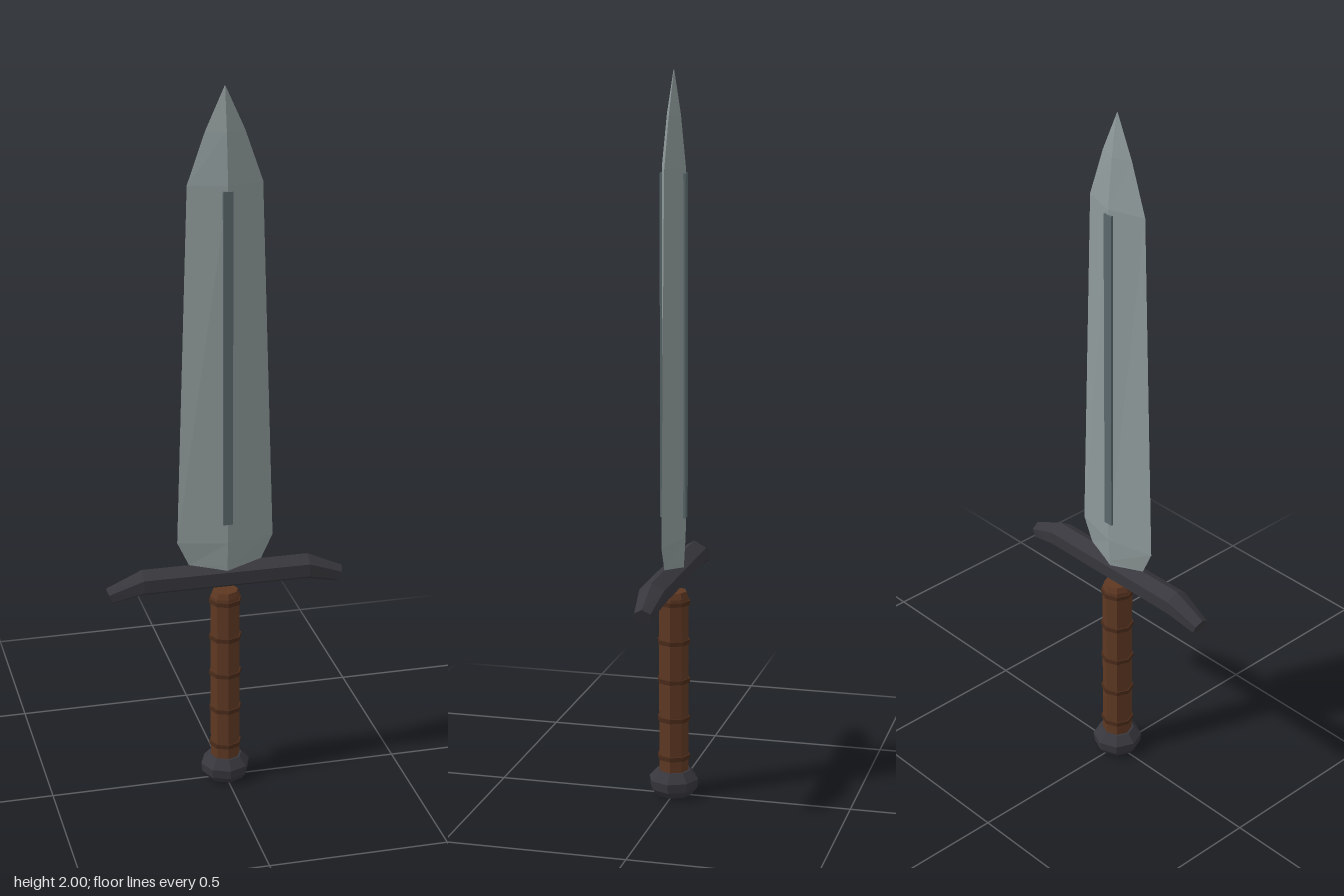
import * as THREE from 'three';

const paint = (color, name) => {
  const m = new THREE.MeshStandardMaterial({ color, flatShading: true });
  m.name = name;
  return m;
};

// Skin a list of equal-length rings (turning positively about the direction of travel) and cap both ends
function loft(rings) {
  const n = rings[0].length, index = [];
  for (let i = 0; i < rings.length - 1; i++) {
    for (let j = 0; j < n; j++) {
      const a = i * n + j, b = i * n + (j + 1) % n;
      index.push(a, b, b + n, a, b + n, a + n);
    }
  }
  const last = (rings.length - 1) * n;
  for (let j = 1; j < n - 1; j++) {
    index.push(0, j + 1, j, last, last + j, last + j + 1);
  }
  const g = new THREE.BufferGeometry();
  g.setAttribute('position', new THREE.Float32BufferAttribute(rings.flat(2), 3));
  g.setIndex(index);
  const flat = g.toNonIndexed();
  flat.computeVertexNormals();
  return flat;
}

const lathe = (profile) =>
  new THREE.LatheGeometry(profile.map(([r, y]) => new THREE.Vector2(r, y)), 8);

export function createModel() {
  const model = new THREE.Group();
  model.name = 'sword';
  const add = (name, geometry, material) => {
    const mesh = new THREE.Mesh(geometry, material);
    mesh.name = name;
    model.add(mesh);
    return mesh;
  };
  const steel = paint(0x8f9a9a, 'steel');
  const darkSteel = paint(0x5a686c, 'darkSteel');
  const iron = paint(0x38373d, 'iron');
  const leather = paint(0x5e3822, 'leather');
  const darkLeather = paint(0x4a2b1a, 'darkLeather');

  // Blade: diamond sections given as height, half width, half thickness
  const bladeSections = [
    [0.64, 0.09, 0.027], [0.67, 0.102, 0.029], [0.74, 0.135, 0.033],
    [1.745, 0.102, 0.033], [1.885, 0.053, 0.019], [2.0, 0.001, 0.001],
  ];
  add('blade', loft(bladeSections.map(([y, w, t]) =>
    [[w, y, 0], [0, y, -t], [-w, y, 0], [0, y, t]])), steel);

  // Central strip standing just proud of both faces
  add('fuller', new THREE.BoxGeometry(0.027, 0.935, 0.071), darkSteel)
    .position.set(0, 1.263, 0);

  // Crossguard: hexagonal bar with drooping, tapered, tilted ends
  const guardSection = (x, y, half, depth, tilt) =>
    [[1, 0], [0.48, 1], [-0.48, 1], [-1, 0], [-0.48, -1], [0.48, -1]].map(([v, z]) =>
      [x + v * half * Math.sin(tilt), y + v * half * Math.cos(tilt), z * depth]);
  add('crossguard', loft([
    guardSection(-0.327, 0.602, 0.025, 0.022, -0.36),
    guardSection(-0.235, 0.633, 0.038, 0.034, 0),
    guardSection(0.235, 0.633, 0.038, 0.034, 0),
    guardSection(0.327, 0.602, 0.025, 0.022, 0.36),
  ]), iron);

  // Grip with raised wrap rings
  add('grip', lathe([
    [0, 0.06], [0.042, 0.06], [0.042, 0.57], [0.036, 0.587], [0, 0.587],
  ]), leather);
  for (let i = 0; i < 5; i++) {
    add('gripRing', new THREE.CylinderGeometry(0.046, 0.046, 0.012, 8), darkLeather)
      .position.y = 0.112 + i * 0.111;
  }

  // Pommel
  add('pommel', lathe([
    [0, 0], [0.052, 0.003], [0.067, 0.022], [0.07, 0.048], [0.048, 0.073], [0, 0.073],
  ]), iron);

  return model;
}
